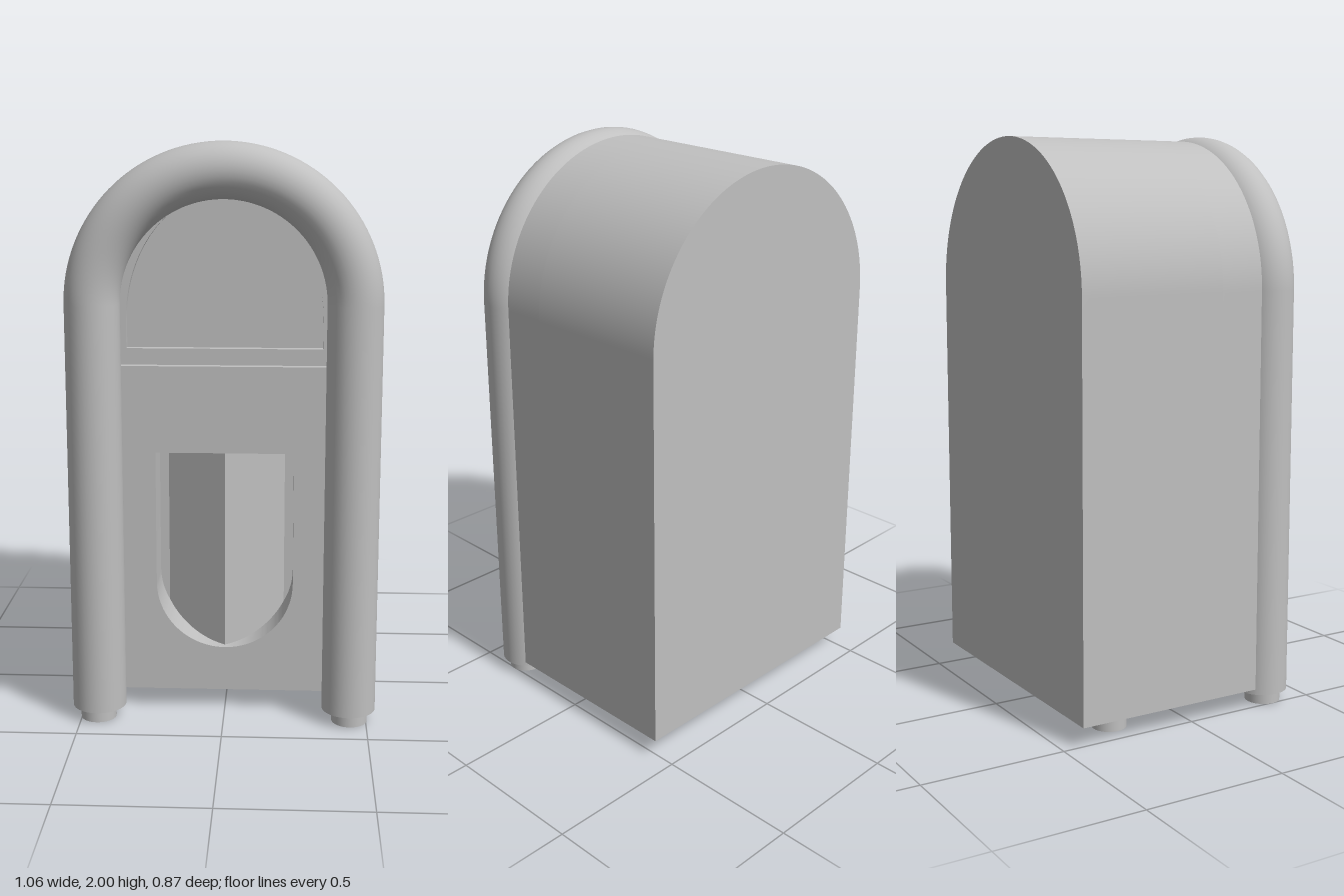
import * as THREE from 'three';
import { toCreasedNormals } from 'three/addons/utils/BufferGeometryUtils.js';

const BACK = -0.435, FRONT = 0.26, CORE = 0.1;   // z planes of the cabinet
const BASE = 0.07, SPRING = 1.466, HALF = 0.515; // cabinet outline

// Outline with a flat base and an arched top
function archShape() {
  const s = new THREE.Shape();
  s.moveTo(-HALF, BASE);
  s.lineTo(HALF, BASE);
  s.lineTo(HALF, SPRING);
  s.absarc(0, SPRING, HALF, 0, Math.PI, false);
  s.closePath();
  return s;
}

// Elliptical-topped window opening
function windowPath() {
  const p = new THREE.Path();
  p.moveTo(-0.335, 1.305);
  p.lineTo(0.335, 1.305);
  p.lineTo(0.335, 1.4);
  p.absellipse(0, 1.4, 0.335, 0.43, 0, Math.PI, false, 0);
  p.closePath();
  return p;
}

// Round-bottomed alcove opening
function alcovePath() {
  const p = new THREE.Path();
  p.moveTo(0.24, 0.94);
  p.lineTo(-0.24, 0.94);
  p.lineTo(-0.24, 0.47);
  p.absarc(0, 0.47, 0.24, Math.PI, Math.PI * 2, false);
  p.closePath();
  return p;
}

// Narrow groove above the band
function groovePath() {
  return new THREE.Path([[-0.42, 1.245], [0.42, 1.245], [0.42, 1.26], [-0.42, 1.26]]
    .map(([x, y]) => new THREE.Vector2(x, y)));
}

function extrude(shape, depth) {
  return toCreasedNormals(
    new THREE.ExtrudeGeometry(shape, { depth, bevelEnabled: false, curveSegments: 48 }), 0.5);
}

export function createModel() {
  const model = new THREE.Group();
  model.name = 'archedCabinet';
  const grey = new THREE.MeshStandardMaterial({ color: 0xc0c0c0 });
  grey.name = 'grey';

  const add = (name, geometry, x = 0, y = 0, z = 0) => {
    const mesh = new THREE.Mesh(geometry, grey);
    mesh.name = name;
    mesh.position.set(x, y, z);
    model.add(mesh);
    return mesh;
  };

  // Cabinet: solid core plus a pierced front slab
  add('cabinetCore', extrude(archShape(), CORE - BACK), 0, 0, BACK);
  const face = archShape();
  face.holes.push(windowPath(), alcovePath(), groovePath());
  add('cabinetFront', extrude(face, FRONT - CORE), 0, 0, CORE);

  // Window pane and groove floor sit just behind the front face
  const pane = new THREE.Shape(windowPath().getPoints(48));
  add('windowPane', extrude(pane, 0.13), 0, 0, CORE);
  add('grooveFloor', new THREE.BoxGeometry(0.84, 0.015, 0.14), 0, 1.2525, CORE + 0.07);

  // Slightly raised band across the middle
  add('frontBand', new THREE.BoxGeometry(0.84, 0.245, 0.03), 0, 1.1225, 0.255);

  // Ridged panel inside the alcove
  const ridge = new THREE.Shape([[-0.208, 0], [0, -0.135], [0.208, 0]]
    .map(([x, y]) => new THREE.Vector2(x, y)));
  const panel = add('alcoveRidge',
    new THREE.ExtrudeGeometry(ridge, { depth: 0.74, bevelEnabled: false }), 0, 0.2, CORE);
  panel.rotation.x = -Math.PI / 2;

  // Thick rounded tube framing the front
  const R = 0.4385, r = 0.0935, tubeZ = 0.338, tubeBase = 0.045;
  add('archTube', new THREE.TorusGeometry(R, r, 32, 64, Math.PI), 0, SPRING, tubeZ);
  const legHeight = SPRING - tubeBase;
  for (const side of [-1, 1]) {
    const prefix = side > 0 ? 'left' : 'right';
    add(prefix + 'TubeLeg', new THREE.CylinderGeometry(r, r, legHeight, 32),
      side * R, tubeBase + legHeight / 2, tubeZ);
    // Short round feet
    add(prefix + 'FrontFoot', new THREE.CylinderGeometry(0.062, 0.062, 0.05, 32),
      side * 0.442, 0.025, 0.345);
    add(prefix + 'BackFoot', new THREE.CylinderGeometry(0.06, 0.06, 0.075, 32),
      side * 0.382, 0.0375, -0.26);
  }
  return model;
}
